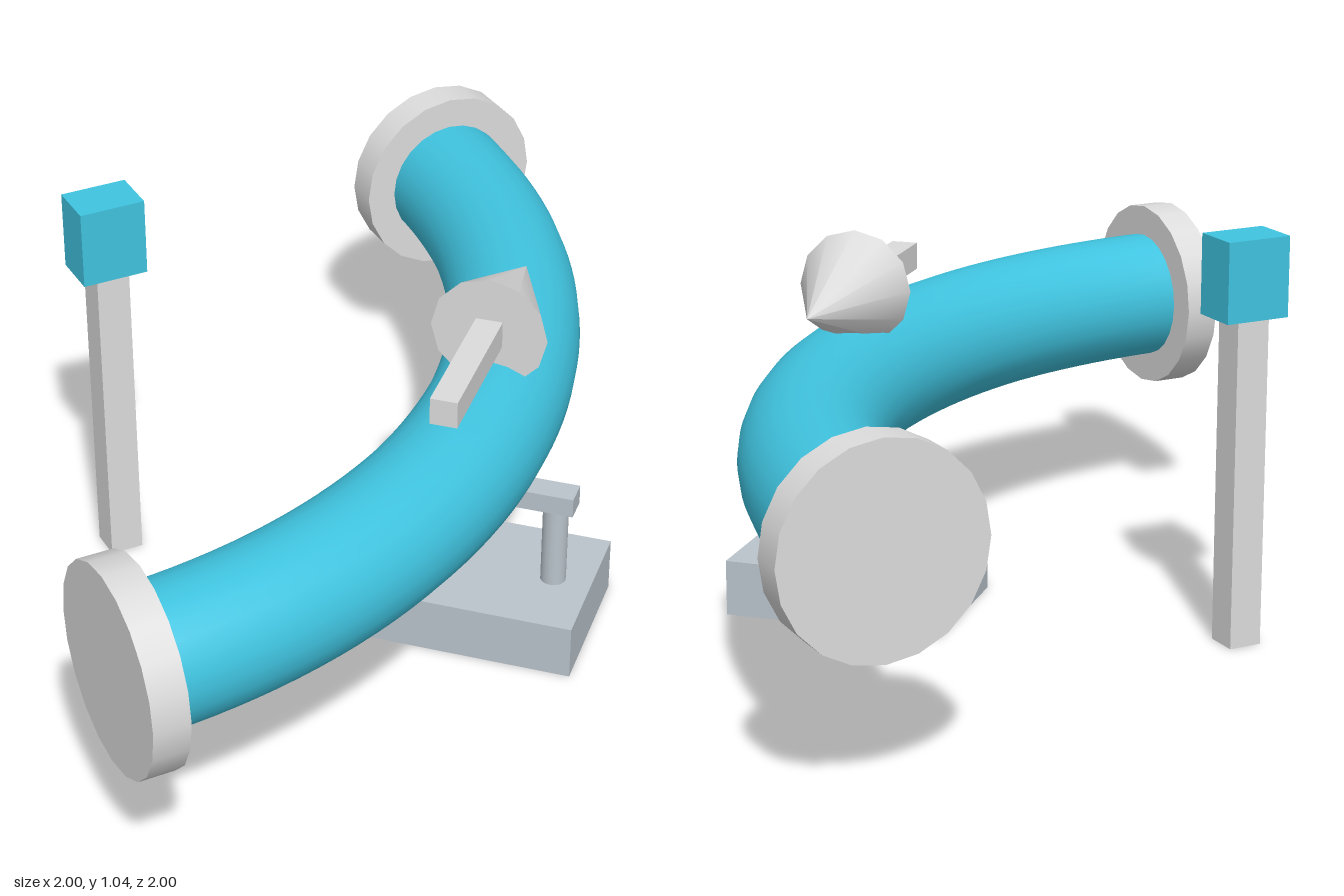
import * as THREE from 'three';

export function createModel() {
  const model = new THREE.Group();
  model.name = 'pipeBend';

  const material = (name, color) => {
    const m = new THREE.MeshStandardMaterial({ color });
    m.name = name;
    return m;
  };
  const blue = material('pipe blue', 0x40c4e0);
  const grey = material('light grey', 0xdcdcdc);
  const steel = material('blue grey steel', 0xbac4cc);

  const add = (parent, name, geometry, mat, x, y, z) => {
    const mesh = new THREE.Mesh(geometry, mat);
    mesh.name = name;
    mesh.position.set(x, y, z);
    parent.add(mesh);
    return mesh;
  };
  const box = (w, h, d) => new THREE.BoxGeometry(w, h, d);

  // Quarter-turn pipe lying flat, sweeping from the left end to the back end
  const pipeY = 0.585, axis = 0.743, centre = -0.985;
  const pipe = new THREE.TorusGeometry(axis - centre, 0.172, 24, 48, Math.PI / 2);
  pipe.rotateX(Math.PI / 2);
  add(model, 'pipe', pipe, blue, centre, pipeY, centre);

  // End flanges
  const flange = () => new THREE.CylinderGeometry(0.255, 0.255, 0.09, 20);
  add(model, 'flangeSide', flange().rotateZ(Math.PI / 2), grey, -0.955, pipeY, axis);
  add(model, 'flangeBack', flange().rotateX(Math.PI / 2), grey, axis, pipeY, -0.955);

  // Support stand under the middle of the bend; its x axis runs across the pipe
  const stand = new THREE.Group();
  stand.name = 'supportStand';
  stand.position.set(0.234, 0, 0.234);
  stand.rotation.y = -Math.PI / 4;
  model.add(stand);
  add(stand, 'standBase', box(0.576, 0.145, 0.403), steel, 0, 0.0725, 0);
  add(stand, 'standBeam', box(0.477, 0.052, 0.068), steel, 0, 0.391, 0);
  for (const side of [-1, 1]) {
    add(stand, 'standColumn', new THREE.CylinderGeometry(0.033, 0.033, 0.225, 16),
      steel, side * 0.187, 0.2555, 0);
  }

  // Flow arrow above the pipe; its x axis points along the flow
  const arrow = new THREE.Group();
  arrow.name = 'flowArrow';
  arrow.position.set(0.234, 0.84, 0.234);
  arrow.rotation.y = Math.PI / 4;
  model.add(arrow);
  add(arrow, 'arrowShaft', box(0.385, 0.07, 0.068), grey, -0.1905, 0, 0);
  const head = new THREE.ConeGeometry(0.148, 0.342, 12);
  head.rotateZ(-Math.PI / 2);
  add(arrow, 'arrowHead', head, grey, 0.171, 0, 0);

  // Separate signal post with a box on top
  add(model, 'signalPost', box(0.087, 0.843, 0.087), grey, -0.479, 0.4215, -0.473);
  add(model, 'signalBox', box(0.171, 0.202, 0.125), blue, -0.479, 0.944, -0.473);

  return model;
}
